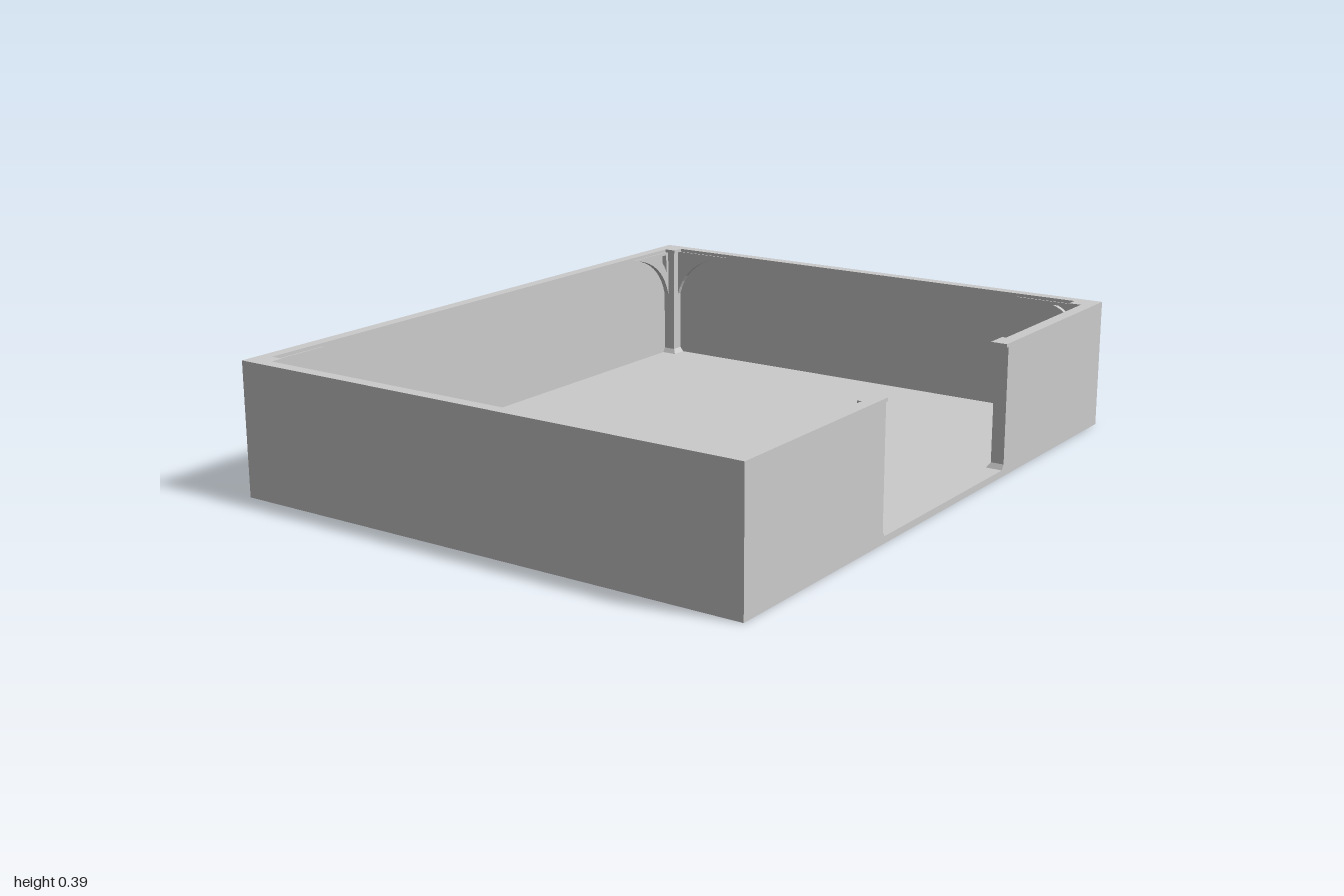
import * as THREE from 'three';

const HX = 0.813, HZ = 1, TOP = 0.39, FLOOR = 0.02, WALL = 0.025, CAP = 0.01;
const UNDER = TOP - CAP;      // underside of the rim
const DOOR = 0.35;            // half width of the opening
const POST = 0.05;            // width of the door posts

export function createModel() {
  const group = new THREE.Group();
  const mat = new THREE.MeshStandardMaterial({ color: 0xcccccc });

  const add = (name, geo) => {
    const mesh = new THREE.Mesh(geo, mat);
    mesh.name = name;
    group.add(mesh);
    return mesh;
  };
  // box given by its lower and upper limits
  const box = (name, x0, x1, y0, y1, z0, z1) => {
    const geo = new THREE.BoxGeometry(Math.abs(x1 - x0), y1 - y0, Math.abs(z1 - z0));
    return add(name, geo.translate((x0 + x1) / 2, (y0 + y1) / 2, (z0 + z1) / 2));
  };
  // foot block whose inner sides slope in towards the post
  const foot = (name, x0, x1, z0, z1, topX, topZ) => {
    const geo = box(name, x0, x1, FLOOR, FLOOR + 0.015, z0, z1).geometry;
    const p = geo.attributes.position;
    for (let i = 0; i < p.count; i++) {
      if (p.getY(i) < FLOOR + 0.007) continue;
      if (Math.abs(p.getX(i) - topX[0]) < 1e-4) p.setX(i, topX[1]);
      for (const [from, to] of topZ) if (Math.abs(p.getZ(i) - from) < 1e-4) { p.setZ(i, to); break; }
    }
    geo.computeVertexNormals();
  };
  // arched brace between a post and the rim; dir is the way it runs along the wall
  const brace = (x, z, dir, alongZ) => {
    const w = 0.2, h = 0.15, s = alongZ ? -dir : dir;
    const shape = new THREE.Shape();
    shape.moveTo(0, 0);
    shape.lineTo(s * w, 0);
    shape.quadraticCurveTo(s * 0.035, -0.025, 0, -h);
    const hole = new THREE.Path();
    hole.moveTo(s * 0.012, -0.01);
    hole.lineTo(s * 0.08, -0.01);
    hole.quadraticCurveTo(s * 0.028, -0.025, s * 0.012, -0.07);
    shape.holes.push(hole);
    const geo = new THREE.ExtrudeGeometry(shape, { depth: 0.016, bevelEnabled: false, curveSegments: 10 });
    geo.translate(0, 0, -0.008);
    const mesh = add('archedBrace', geo);
    mesh.position.set(x, UNDER, z);
    if (alongZ) mesh.rotation.y = Math.PI / 2;
  };

  box('floor', -HX, HX, 0, FLOOR, -HZ, HZ);

  // Walls and the wider rim on top of them
  const RIM = 0.037;
  box('sideWall', -HX, -HX + WALL, FLOOR, UNDER, -HZ, HZ);
  box('sideRim', -HX, -HX + RIM, UNDER, TOP, -HZ, HZ);
  for (const s of [-1, 1]) {
    box('endWall', -HX + WALL, HX, FLOOR, UNDER, s * (HZ - WALL), s * HZ);
    box('endRim', -HX + RIM, HX, UNDER, TOP, s * (HZ - RIM), s * HZ);
    box('doorSideWall', HX - WALL, HX, FLOOR, UNDER, s * (DOOR + POST), s * (HZ - WALL));
    box('doorSideRim', HX - RIM, HX, UNDER, TOP, s * (DOOR + POST + 0.01), s * (HZ - RIM));
  }

  // Corner posts with cap, foot and a brace along each wall
  for (const sx of [-1, 1]) for (const sz of [-1, 1]) {
    const xi = HX - 0.065, zi = HZ - 0.065;
    const xw = sx * (HX - WALL), zw = sz * (HZ - WALL);
    box('cornerPost', xw, sx * xi, FLOOR, UNDER, zw, sz * zi);
    box('cornerCap', sx * (HX - RIM), sx * (xi - 0.01), UNDER, TOP, sz * (HZ - RIM), sz * (zi - 0.01));
    foot('cornerFoot', xw, sx * (xi - 0.01), zw, sz * (zi - 0.01),
      [sx * (xi - 0.01), sx * xi], [[sz * (zi - 0.01), sz * zi]]);
    brace(sx * xi, sz * (HZ - WALL - 0.008), -sx, false);
    brace(sx * (HX - WALL - 0.008), sz * zi, -sz, true);
  }

  // Door posts on both sides of the opening
  for (const s of [-1, 1]) {
    const xi = HX - 0.04, z0 = s * DOOR, z1 = s * (DOOR + POST);
    const f0 = s * (DOOR - 0.01), f1 = s * (DOOR + POST + 0.01);
    box('doorPost', xi, HX, FLOOR, UNDER, z0, z1);
    box('doorPostCap', xi - 0.01, HX, UNDER, TOP, f0, f1);
    foot('doorPostFoot', xi - 0.01, HX, f0, f1, [xi - 0.01, xi], [[f0, z0], [f1, z1]]);
    brace(HX - WALL - 0.008, z1, s, true);
  }
  return group;
}
